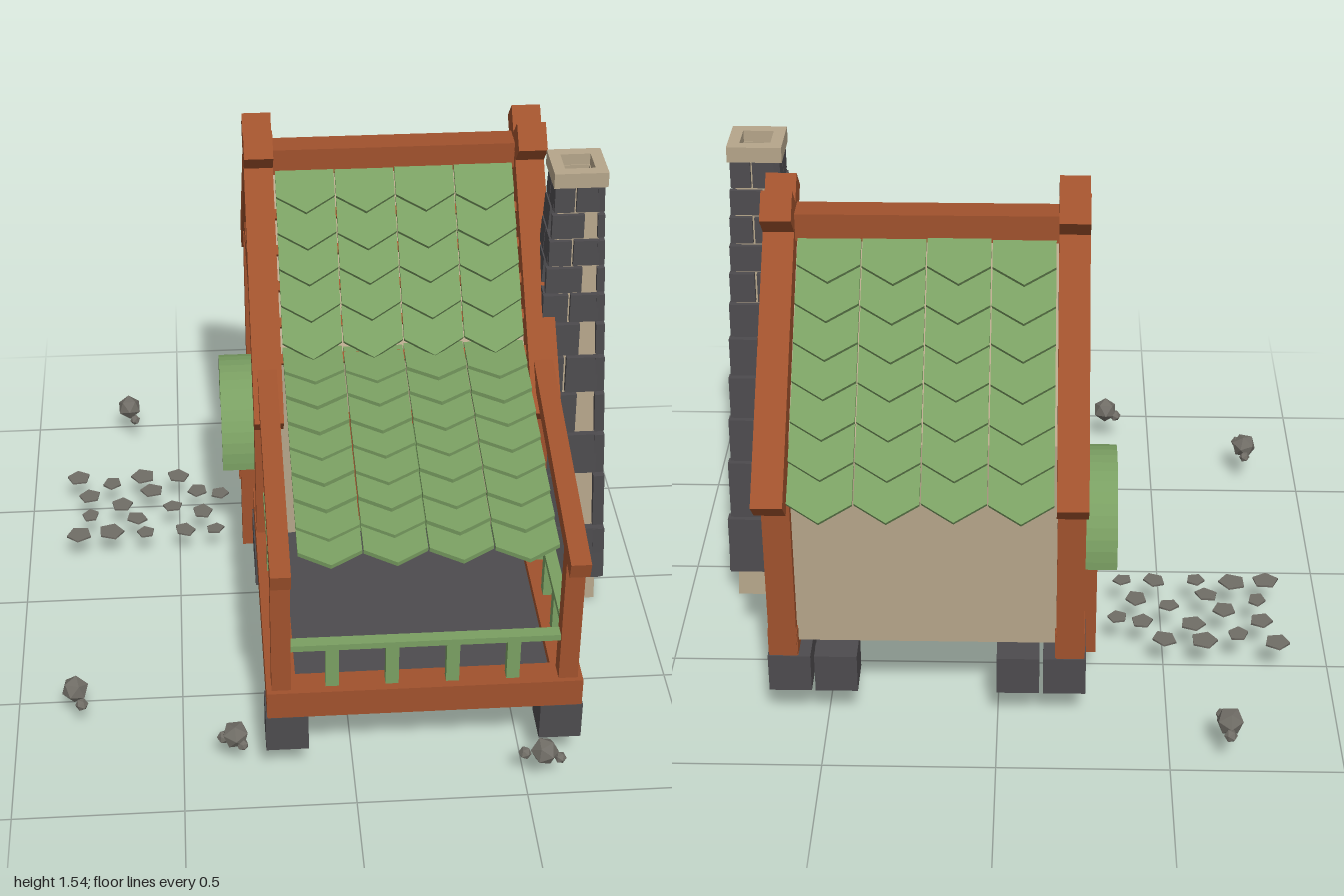
import * as THREE from 'three';

const material = (name, color, side = THREE.FrontSide) => {
  const m = new THREE.MeshStandardMaterial({ color, side });
  m.name = name;
  return m;
};

export function createModel() {
  const wood = material('wood', 0xa0522d);
  const green = material('greenPaint', 0x7a9f62);
  const plaster = material('plaster', 0xb5a58a, THREE.DoubleSide);
  const slate = material('slate', 0x4d4b4e);
  const stone = material('stone', 0x706d66);

  const model = new THREE.Group();
  model.name = 'cottage';
  const CX = 0.205; // middle of the house across x

  let seed = 7;
  const rand = () => (seed = (seed * 16807) % 2147483647) / 2147483647;

  const add = (parent, name, geo, mat, x = 0, y = 0, z = 0) => {
    const mesh = new THREE.Mesh(geo, mat);
    mesh.name = name;
    mesh.position.set(x, y, z);
    parent.add(mesh);
    return mesh;
  };
  const group = (name, parent = model) => {
    const g = new THREE.Group();
    g.name = name;
    parent.add(g);
    return g;
  };
  // Box given by its limits
  const box = (parent, name, mat, x0, x1, y0, y1, z0, z1) =>
    add(parent, name, new THREE.BoxGeometry(x1 - x0, y1 - y0, z1 - z0), mat,
      (x0 + x1) / 2, (y0 + y1) / 2, (z0 + z1) / 2);
  // Sloping beam in the z-y plane between two centreline points
  const beam = (name, x, width, thick, z0, y0, z1, y1) => {
    const m = add(model, name, new THREE.BoxGeometry(width, thick, Math.hypot(z1 - z0, y1 - y0)),
      wood, x, (y0 + y1) / 2, (z0 + z1) / 2);
    m.rotation.x = -Math.atan2(y1 - y0, z1 - z0);
  };
  // Side profile (z, y) extruded from x towards -x
  const sideExtrude = (name, shape, mat, x, depth) => {
    const geo = new THREE.ExtrudeGeometry(shape, { depth, bevelEnabled: false, curveSegments: 10 });
    add(model, name, geo, mat, x).rotation.y = -Math.PI / 2;
  };

  // House body with gables
  const RZ = -0.345;
  const body = new THREE.Shape([[-0.77, 0.275], [0.08, 0.275], [0.08, 0.94], [RZ, 1.365], [-0.77, 0.94]]
    .map(([z, y]) => new THREE.Vector2(z, y)));
  sideExtrude('walls', body, plaster, CX + 0.41, 0.82);

  // Timber frame, both sides
  for (const s of [-1, 1]) {
    const x = CX + s * 0.415;
    const side = (name, y0, y1, z0, z1, w = 0.04) => box(model, name, wood, x - w, x + w, y0, y1, z0, z1);
    side('backPost', 0.24, 0.93, -0.8, -0.72);
    side('frontPost', 0.24, 0.94, 0.03, 0.11);
    side('wallPlate', 0.925, 1.005, -0.75, 0.06, 0.037);
    side('backSill', 0.24, 0.327, -0.797, -0.54, 0.043);
    side('sideSill', 0.24, 0.327, -0.13, 0.884, 0.043);
    side('porchPost', 0.32, 0.8, 0.815, 0.87, 0.028);
    beam('rafter', x, 0.088, 0.09, -0.438, 1.505, 0.245, 0.82);
    beam('rafter', x, 0.0878, 0.0898, -0.252, 1.505, -0.935, 0.82);
    beam('porchRafter', x, 0.058, 0.052, 0.11, 0.953, 0.932, 0.764);
  }
  box(model, 'ridgeBeam', wood, CX - 0.4, CX + 0.4, 1.375, 1.458, -0.39, -0.305);
  box(model, 'porchSill', wood, CX - 0.455, CX + 0.455, 0.238, 0.328, 0.8, 0.885);
  box(model, 'porchFloor', slate, CX - 0.4, CX + 0.4, 0.255, 0.3, 0.05, 0.83);

  // Roof shingles with pointed lower edges
  const TW = 0.183;
  const tile = new THREE.ExtrudeGeometry(new THREE.Shape([
    [-TW / 2 + 0.002, 0.17], [-TW / 2 + 0.002, 0.055], [0, 0], [TW / 2 - 0.002, 0.055], [TW / 2 - 0.002, 0.17],
  ].map(([x, y]) => new THREE.Vector2(x, y))), { depth: 0.014, bevelEnabled: false });
  const slope = (name, y, z, pitch, turn, length, step, first, last) => {
    const g = group(name);
    g.position.set(CX, y, z);
    g.rotation.set(pitch - Math.PI / 2, turn, 0, 'YXZ');
    for (let k = first; k <= last; k++) {
      for (let c = 0; c < 4; c++) {
        const t = add(g, 'shingle', tile, green, (c - 1.5) * TW, -(length - step * k) + (rand() - 0.5) * 0.008, 0.012);
        t.rotation.x = -0.13;
        t.rotation.x *= -1;
        t.rotation.x = -0.13 + (rand() - 0.5) * 0.03;
      }
    }
    return g;
  };
  slope('backRoof', 1.42, RZ, Math.PI / 4, Math.PI, 0.875, 0.113, 0, 6);
  const front = slope('frontRoof', 1.42, RZ, Math.PI / 4, 0, 0.875, 0.113, 2, 6);
  slope('porchRoof', 0.965, 0.13, 0.227, 0, 0.806, 0.1, 0, 7);
  // Battens under the front shingles
  for (let k = 0; k < 5; k++) box(front, 'batten', wood, -0.38, 0.38, -0.2 - k * 0.113, -0.17 - k * 0.113, -0.02, 0);

  // Front door
  const DX = 0.205;
  box(model, 'doorLeaf', green, DX - 0.132, DX + 0.132, 0.29, 0.715, 0.06, 0.088);
  for (const s of [-1, 1]) box(model, 'doorJamb', wood, DX + s * 0.149 - 0.019, DX + s * 0.149 + 0.019, 0.29, 0.715, 0.06, 0.105);
  box(model, 'doorLintel', wood, DX - 0.168, DX + 0.168, 0.714, 0.752, 0.06, 0.105);
  add(model, 'doorKnob', new THREE.IcosahedronGeometry(0.018, 0), slate, 0.123, 0.535, 0.105);

  // Porch railing
  box(model, 'frontRail', green, CX - 0.39, CX + 0.39, 0.462, 0.482, 0.825, 0.862);
  for (const x of [-0.063, 0.11, 0.285, 0.46]) box(model, 'baluster', green, x - 0.019, x + 0.019, 0.32, 0.465, 0.828, 0.86);
  for (const s of [-1, 1]) {
    const x = CX + s * 0.415;
    box(model, 'sideRail', green, x - 0.018, x + 0.018, 0.462, 0.482, 0.1, 0.82);
    for (const z of [0.29, 0.466, 0.64]) box(model, 'baluster', green, x - 0.016, x + 0.016, 0.32, 0.465, z - 0.019, z + 0.019);
  }

  // Arched side entrance
  const arch = new THREE.Shape();
  arch.moveTo(-0.125, 0.405);
  arch.lineTo(-0.125, 0.43);
  arch.absarc(-0.355, 0.43, 0.23, 0, Math.PI, false);
  arch.lineTo(-0.585, 0.405);
  arch.lineTo(-0.535, 0.405);
  arch.lineTo(-0.535, 0.43);
  arch.absarc(-0.355, 0.43, 0.18, Math.PI, 0, true);
  arch.lineTo(-0.175, 0.405);
  sideExtrude('archHood', arch, green, -0.19, 0.158);
  for (const z of [-0.54, -0.17]) box(model, 'archPost', wood, -0.29, -0.19, 0.095, 0.43, z - 0.03, z + 0.03);

  // Foundation blocks
  const block = new THREE.BoxGeometry(0.124, 0.122, 0.124);
  for (const s of [-1, 1]) {
    const spots = [[0, 0.822], [0, 0.045], [1, 0.045], [2, 0.045], [0, -0.09], [0, -0.737], [1, -0.737], [0, -0.606]];
    for (const [i, z] of spots) add(model, 'foundationBlock', block, slate, CX + s * (0.4 - i * 0.135), 0.175, z);
  }

  // Chimney: hollow tapering core, cap and slate blocks
  const chimney = group('chimney');
  chimney.position.set(0.72, 0, -0.026);
  const half = (y) => 0.126 - 0.068 * (y / 1.5);
  const ring = (name, pts) => {
    const geo = new THREE.LatheGeometry(pts.map(([h, y]) => new THREE.Vector2(h * Math.SQRT2, y)), 4, Math.PI / 4).toNonIndexed();
    geo.computeVertexNormals();
    add(chimney, name, geo, plaster);
  };
  ring('chimneyCore', [[0.075, 0], [half(0), 0], [half(1.5), 1.5], [0.042, 1.5], [0.075, 0]]);
  ring('chimneyCap', [[0.045, 1.488], [0.08, 1.488], [0.08, 1.535], [0.045, 1.535], [0.045, 1.488]]);
  const rows = [0.095, 0.295, 0.495, 0.645, 0.79, 0.92, 1.035, 1.135, 1.225, 1.315, 1.4, 1.488];
  for (let k = 0; k < 4; k++) {
    const face = group('chimneyFace', chimney);
    face.rotation.y = k * Math.PI / 2;
    for (let r = 0; r < rows.length - 1; r++) {
      const y = (rows[r] + rows[r + 1]) / 2;
      const inner = half(y) * 0.9, outer = half(y) * 1.22;
      const spans = r === 0 ? [[-1, 0.97]] : r % 2 ? [[-1, 0.22]] : [[-1, -0.2], [-0.12, 0.8]];
      for (const [a, b] of spans) {
        const geo = new THREE.BoxGeometry((b - a) * outer, rows[r + 1] - rows[r] - 0.009, outer - inner);
        add(face, 'chimneyBlock', geo, slate, (a + b) / 2 * outer, y, (inner + outer) / 2).rotation.x = -0.045;
      }
    }
  }

  // Flat stones of the path
  const path = [[-0.84, -0.53], [-0.725, -0.49], [-0.62, -0.525], [-0.5, -0.52], [-0.8, -0.42], [-0.59, -0.44],
    [-0.435, -0.43], [-0.36, -0.41], [-0.69, -0.365], [-0.795, -0.31], [-0.52, -0.345], [-0.42, -0.31], [-0.64, -0.285],
    [-0.83, -0.205], [-0.725, -0.215], [-0.61, -0.205], [-0.48, -0.21], [-0.38, -0.21]];
  for (const [x, z] of path) {
    const r = 0.03 + rand() * 0.012;
    const m = add(model, 'pathStone', new THREE.CylinderGeometry(r, r, 0.006, 5), stone, x, 0.112, z);
    m.rotation.y = rand() * 6;
    m.scale.z = 0.8 + rand() * 0.3;
  }

  // Loose rocks, each with two small companions
  const rocks = [[-0.67, -0.935, 0, -0.045, 0.02, 0.055], [-0.82, 0.59, 0.02, 0.052, 0, -0.045],
    [-0.345, 0.825, -0.035, -0.01, 0.02, 0.025], [0.55, 0.957, -0.055, -0.015, 0.045, 0.01]];
  for (const [x, z, ax, az, bx, bz] of rocks) {
    for (const [dx, dz, r] of [[0, 0, 0.042], [ax, az, 0.02], [bx, bz, 0.018]]) {
      const m = add(model, 'rock', new THREE.IcosahedronGeometry(r, 0), stone, x + dx, 0.095 + r * 0.8, z + dz);
      m.rotation.set(rand() * 6, rand() * 6, 0);
    }
  }
  return model;
}
